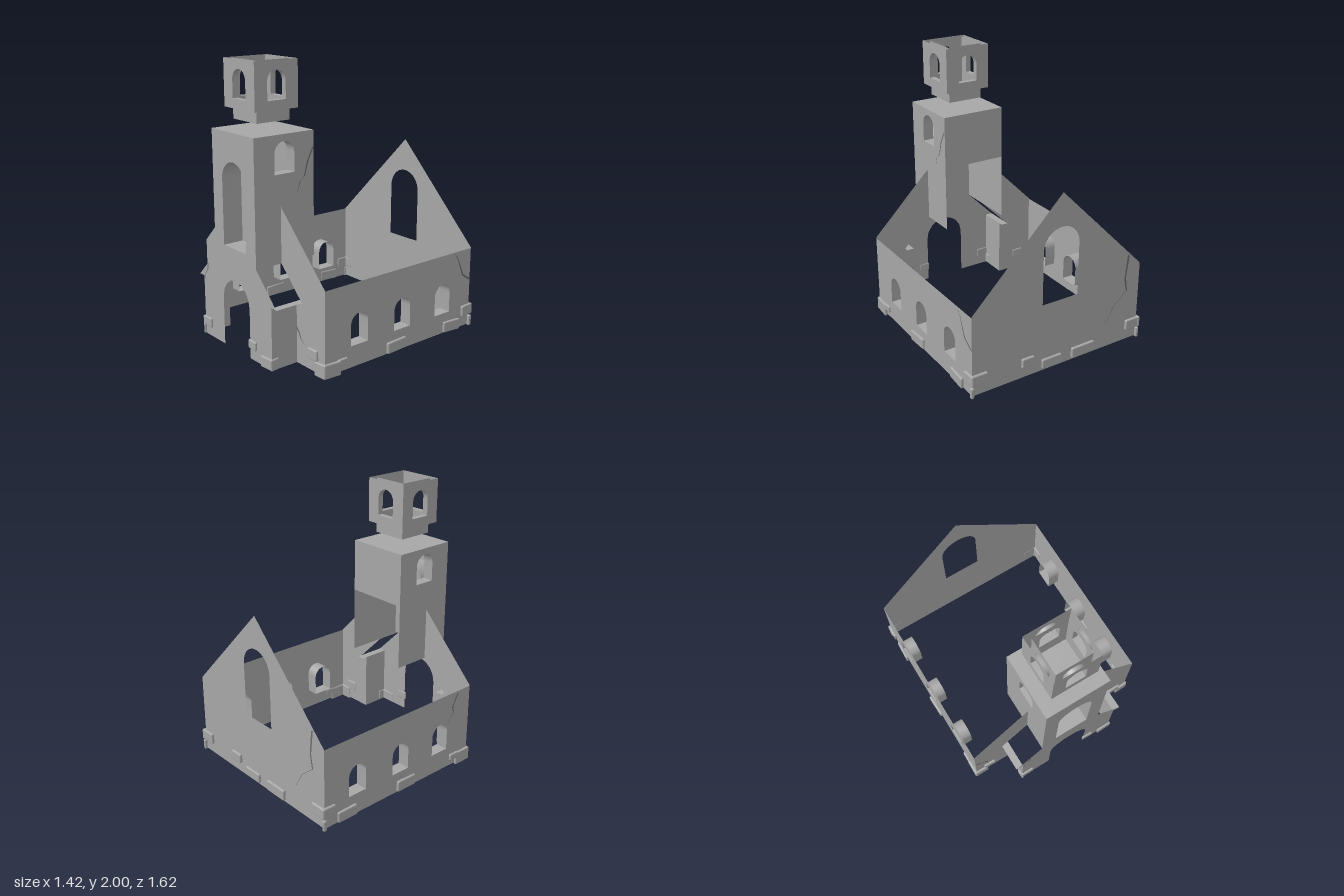
import * as THREE from 'three';
import { toCreasedNormals } from 'three/addons/utils/BufferGeometryUtils.js';
import { RoundedBoxGeometry } from 'three/addons/geometries/RoundedBoxGeometry.js';

const stone = new THREE.MeshStandardMaterial({ color: 0xa6a6a6, side: THREE.DoubleSide });
stone.name = 'grey stone';
const dark = new THREE.MeshStandardMaterial({ color: 0x6c6c6c, side: THREE.DoubleSide });
dark.name = 'dark crack';

// outline of a round-headed opening: centre c, half width r, sill and top heights
function arch(c, r, sill, top, n = 16) {
  const pts = [new THREE.Vector2(c - r, sill), new THREE.Vector2(c + r, sill)];
  for (let i = 0; i <= n; i++) {
    const a = (Math.PI * i) / n;
    pts.push(new THREE.Vector2(c + r * Math.cos(a), top - r + r * Math.sin(a)));
  }
  return pts;
}

// strip running back from an opening's outline (local z = 0 to -depth)
function revealGeometry(pts, depth) {
  const pos = [], idx = [], n = pts.length;
  for (const p of pts) pos.push(p.x, p.y, 0, p.x, p.y, -depth);
  for (let i = 0; i < n; i++) {
    const a = 2 * i, b = 2 * ((i + 1) % n);
    idx.push(a, b, a + 1, b, b + 1, a + 1);
  }
  const g = new THREE.BufferGeometry();
  g.setAttribute('position', new THREE.Float32BufferAttribute(pos, 3));
  g.setIndex(idx);
  return toCreasedNormals(g, 0.6);
}

function crackGeometry(pts) {
  // jagged ribbon that tapers to a point
  const n = pts.length, left = [], right = [];
  pts.forEach(([x, y], i) => {
    const w = 0.007 * (1 - i / (n - 1)) + 0.0015;
    left.push(new THREE.Vector2(x - w, y - w * 0.4));
    right.unshift(new THREE.Vector2(x + w, y + w * 0.4));
  });
  return new THREE.ShapeGeometry(new THREE.Shape([...left, ...right]));
}

export function createModel() {
  const root = new THREE.Group();
  const add = (name, geo, parent = root, mat = stone) => {
    const m = new THREE.Mesh(geo, mat);
    m.name = name;
    parent.add(m);
    return m;
  };
  // a vertical plane whose local +z points outwards
  const side = (name, x, z, turn, parent = root) => {
    const g = new THREE.Group();
    g.name = name;
    g.position.set(x, 0, z);
    g.rotation.y = turn;
    parent.add(g);
    return g;
  };
  const wall = (name, parent, outline, holes = []) => {
    const s = new THREE.Shape(outline.map(([x, y]) => new THREE.Vector2(x, y)));
    for (const h of holes) s.holes.push(new THREE.Path(h));
    return add(name, new THREE.ShapeGeometry(s), parent);
  };
  const rect = (x0, x1, y0, y1) => [[x0, y0], [x1, y0], [x1, y1], [x0, y1]];
  const floor = (name, w, d, x, y, z) => {
    const m = add(name, new THREE.PlaneGeometry(w, d), root);
    m.rotation.x = -Math.PI / 2;
    m.position.set(x, y, z);
  };
  const H = Math.PI / 2;

  // nave side walls with three deep windows each
  for (const s of [1, -1]) {
    const g = side(s > 0 ? 'leftNaveWall' : 'rightNaveWall', s * 0.69, 0, s * H);
    const wins = [0.29, -0.1, -0.495].map((z) => arch(-s * z, 0.075, 0.17, 0.39));
    wall('naveSideWall', g, s > 0 ? rect(-0.585, 0.78, 0.02, 0.605) : rect(-0.78, 0.585, 0.02, 0.605), wins);
    wins.forEach((w) => add('windowReveal', revealGeometry(w, 0.09), g));
  }

  // back gable with a tall arched window
  const back = side('backGable', 0, -0.78, Math.PI);
  wall('backGableWall', back,
    [[-0.69, 0.02], [0.69, 0.02], [0.69, 0.61], [0, 1.3], [-0.69, 0.61]], [arch(0, 0.143, 0.525, 1.06)]);

  // front gable halves, porch side walls and eaves
  for (const s of [1, -1]) {
    const g = side('frontGableHalf', 0, 0.585, 0);
    wall('frontGableWall', g, [[0.4, 0.02], [0.69, 0.02], [0.69, 0.61], [0.24, 1.06], [0.24, 0.67],
      [0.455, 0.455], [0.4, 0.455]].map(([x, y]) => [s * x, y]));
    const p = side('porchSide', s * 0.4, 0, s * H);
    wall('porchSideWall', p, s > 0 ? rect(-0.79, -0.585, 0.02, 0.455) : rect(0.585, 0.79, 0.02, 0.455));
    floor('porchEave', 0.055, 0.24, s * 0.4275, 0.455, 0.67);
  }

  // porch front with arched doorway cut up from the bottom edge
  const porch = side('porchFront', 0, 0.79, 0);
  const door = arch(0, 0.155, 0.02, 0.525, 8).slice(2).map((p) => [p.x, p.y]);
  wall('porchFrontWall', porch, [[0.155, 0.02], [0.4, 0.02], [0.4, 0.455], [0.455, 0.455], [0.24, 0.67],
    [-0.24, 0.67], [-0.455, 0.455], [-0.4, 0.455], [-0.4, 0.02], [-0.155, 0.02], ...door.reverse()]);

  // tower: front with niche, sides with windows, short back, flat roof
  const tf = side('towerFront', 0, 0.79, 0);
  const niche = arch(0, 0.13, 0.75, 1.34);
  wall('towerFrontWall', tf, rect(-0.24, 0.24, 0.67, 1.535), [niche]);
  add('nicheReveal', revealGeometry(niche, 0.15), tf);
  add('nichePanel', new THREE.ShapeGeometry(new THREE.Shape(niche)), tf).position.z = -0.15;
  for (const s of [1, -1]) {
    const g = side('towerSide', s * 0.24, 0.55, s * H);
    const w = arch(0, 0.08, 1.275, 1.49);
    wall('towerSideWall', g, rect(-0.24, 0.24, 0.67, 1.535), [w]);
    add('towerWindowReveal', revealGeometry(w, 0.08), g);
  }
  wall('towerBackWall', side('towerBack', 0, 0.31, Math.PI), rect(-0.24, 0.24, 1.15, 1.535));
  floor('towerRoof', 0.48, 0.48, 0, 1.535, 0.55);

  // belfry: inner shaft and outer shell joined by window reveals
  for (let i = 0; i < 4; i++) {
    const a = i * H, w = arch(0, 0.073, 1.745, 1.94);
    const at = (r, name) => side(name, r * Math.sin(a), 0.555 + r * Math.cos(a), a);
    const outer = at(0.172, 'belfryOuterSide');
    wall('belfryOuterWall', outer, rect(-0.172, 0.172, 1.68, 2), [w]);
    add('belfryReveal', revealGeometry(w, 0.04), outer);
    wall('belfryInnerWall', at(0.132, 'belfryInnerSide'), rect(-0.132, 0.132, 1.6, 2), [w]);
  }
  floor('belfryFloor', 0.264, 0.264, 0, 1.6, 0.555);

  // exposed stones at the wall bases: x, y, z, width, height, depth
  const blocks = [
    [-0.65, 0.055, 0.59, 0.11, 0.1, 0.024], [0.65, 0.055, 0.59, 0.1, 0.1, 0.024],
    [-0.575, 0.145, 0.59, 0.09, 0.07, 0.024], [0.575, 0.14, 0.59, 0.095, 0.075, 0.024],
    [-0.36, 0.123, 0.795, 0.105, 0.07, 0.02], [0.19, 0.13, 0.795, 0.085, 0.065, 0.018],
    [0.35, 0.058, 0.795, 0.12, 0.08, 0.02], [-0.195, 0.08, -0.795, 0.19, 0.08, 0.024],
    [0.07, 0.08, -0.795, 0.16, 0.07, 0.022], [0.265, 0.14, -0.795, 0.1, 0.07, 0.024],
  ];
  for (const s of [1, -1]) {
    blocks.push(
      [s * 0.695, 0.055, 0.53, 0.024, 0.1, 0.14], [s * 0.695, 0.085, 0.44, 0.022, 0.05, 0.08],
      [s * 0.695, 0.064, -0.045, 0.024, 0.08, 0.175], [s * 0.695, 0.06, -0.59, 0.024, 0.08, 0.16],
      [s * 0.695, 0.14, -0.75, 0.024, 0.08, 0.11], [s * 0.64, 0.14, -0.79, 0.12, 0.08, 0.024],
      [s * 0.695, 0.05, -0.785, 0.024, 0.08, 0.03], [s * 0.402, 0.06, 0.77, 0.016, 0.08, 0.07],
    );
  }
  blocks.forEach(([x, y, z, w, h, d], i) => {
    const m = add('baseStone', new RoundedBoxGeometry(w, h, d, 2, 0.009));
    m.position.set(x, y, z);
    const tilt = 0.04 * Math.sin(i * 2.3);
    if (w > d) m.rotation.set(0, tilt, tilt);
    else m.rotation.set(tilt, tilt, 0);
  });

  // cracks: plane position, turn, then points along the wall
  const cracks = [
    [0, 0.588, 0, [[-0.685, 0.375], [-0.65, 0.32], [-0.6, 0.28], [-0.59, 0.24], [-0.585, 0.19]]],
    [0, 0.588, 0, [[0.4, 0.275], [0.43, 0.24], [0.445, 0.205], [0.485, 0.175]]],
    [0, 0.793, 0, [[-0.34, 0.565], [-0.345, 0.52], [-0.385, 0.465], [-0.395, 0.39]]],
    [0.693, 0, H, [[0.775, 0.37], [0.7, 0.42], [0.67, 0.49], [0.645, 0.55], [0.615, 0.59]]],
    [0.243, 0, H, [[-0.318, 1.42], [-0.36, 1.34], [-0.39, 1.235], [-0.43, 1.2], [-0.45, 1.13]]],
    [0, -0.784, Math.PI, [[0.58, 0.7], [0.56, 0.52], [0.58, 0.42], [0.47, 0.33], [0.4, 0.21]]],
    [-0.693, 0, -H, [[0.46, 0.59], [0.41, 0.5], [0.42, 0.45], [0.37, 0.38]]],
  ];
  for (const [x, z, turn, pts] of cracks) add('crack', crackGeometry(pts), side('crackPlane', x, z, turn), dark);

  return root;
}
